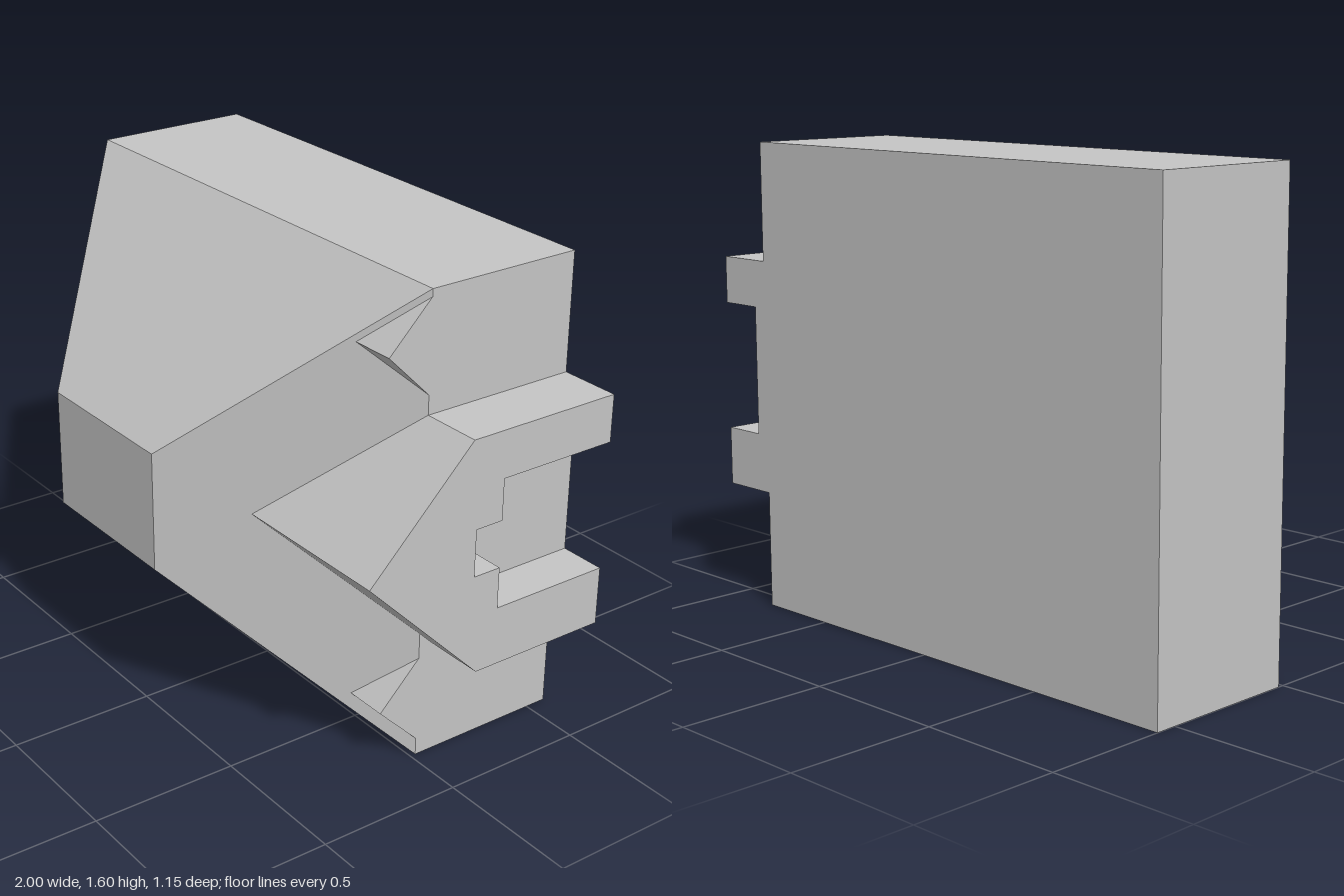
import * as THREE from 'three';

const BACK = -0.575, MID = -0.02, FRONT = 0.575;

// Closed flat-faced solid through rectangular sections [x0, x1, y0, y1, z], ordered back to front
function loftRects(sections) {
  const rings = sections.map(([x0, x1, y0, y1, z]) =>
    [[x0, y0, z], [x1, y0, z], [x1, y1, z], [x0, y1, z]]);
  const pos = [];
  const quad = (a, b, c, d) => pos.push(...a, ...b, ...c, ...a, ...c, ...d);
  for (let r = 0; r < rings.length - 1; r++) {
    const p = rings[r], q = rings[r + 1];
    for (let i = 0; i < 4; i++) {
      const j = (i + 1) % 4;
      quad(p[i], p[j], q[j], q[i]);
    }
  }
  const [a, b, c, d] = rings[0];
  quad(d, c, b, a);
  quad(...rings[rings.length - 1]);
  const geo = new THREE.BufferGeometry();
  geo.setAttribute('position', new THREE.Float32BufferAttribute(pos, 3));
  geo.computeVertexNormals();
  return geo;
}

// Side profile of [z, y] points, extruded along x from x0 to x1
function extrudeX(points, x0, x1) {
  const shape = new THREE.Shape(points.map(([z, y]) => new THREE.Vector2(-z, y)));
  return new THREE.ExtrudeGeometry(shape, { depth: x1 - x0, bevelEnabled: false })
    .rotateY(Math.PI / 2)
    .translate(x0, 0, 0);
}

export function createModel() {
  const group = new THREE.Group();
  const grey = new THREE.MeshStandardMaterial({ color: 0xc4c4c4 });
  grey.name = 'grey';
  const add = (name, geo) => {
    const mesh = new THREE.Mesh(geo, grey);
    mesh.name = name;
    group.add(mesh);
  };

  // Rectangular block tapering to a small front face
  add('taperedBlock', loftRects([
    [-1, 0.79, 0, 1.6, BACK],
    [-1, 0.79, 0, 1.6, MID],
    [-0.375, 0.195, 0.6, 1.005, FRONT],
  ]));

  // Pointed spurs emerging from the sloping left face
  add('upperSpur', extrudeX([[MID, 1.575], [0.135, 1.42], [MID, 1.265]], 0.625, 0.79));
  add('lowerSpur', extrudeX([[MID, 0.36], [0.13, 0.21], [MID, 0.06]], 0.63, 0.79));
  add('middleSpur', extrudeX([[MID, 1.2], [0.355, 0.825], [MID, 0.45]], 0.405, 0.79));

  // Connector on the side: solid root, then an outer plate with a stepped notch open at the back
  const outline = [[BACK, 1.2], [MID, 1.2], [0.355, 0.825], [-0.07, 0.4], [BACK, 0.4]];
  const notch = [
    [BACK, 0.6], [-0.145, 0.6], [-0.145, 0.74], [-0.045, 0.74],
    [-0.045, 0.9], [-0.145, 0.9], [-0.145, 1.04], [BACK, 1.04],
  ];
  add('connectorRoot', extrudeX(outline, 0.79, 0.84));
  add('connectorPlate', extrudeX([...outline, ...notch], 0.84, 1));

  return group;
}
